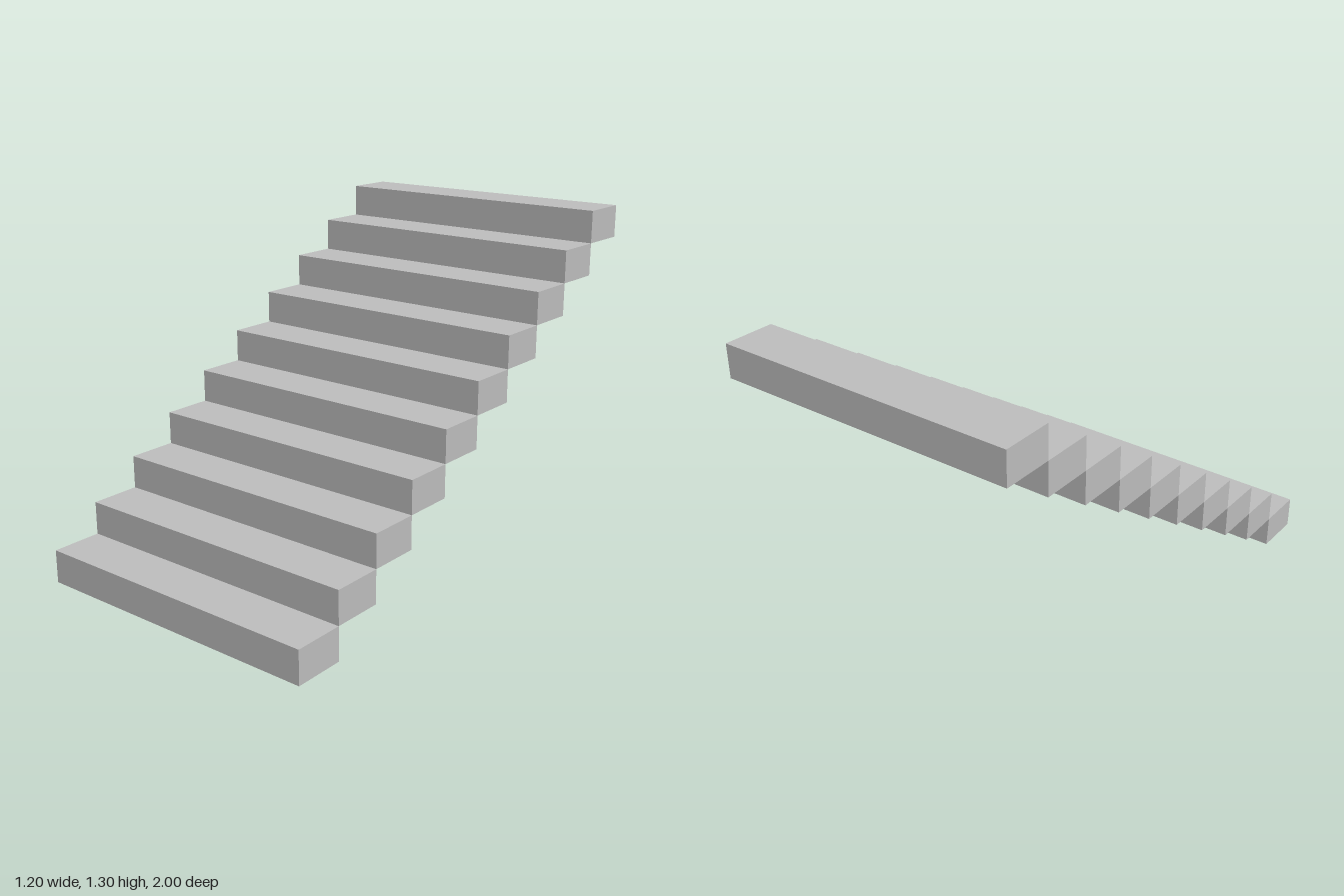
import * as THREE from 'three';

const STEPS = 10, WIDTH = 1.2, RISE = 0.13, RUN = 0.2;

export function createModel() {
  const group = new THREE.Group();
  group.name = 'staircase';
  const stone = new THREE.MeshStandardMaterial({ color: 0xc0c0c0 });
  stone.name = 'light grey';

  // Solid block steps, climbing from the front to the back, touching edge to edge
  const block = new THREE.BoxGeometry(WIDTH, RISE, RUN);
  for (let i = 0; i < STEPS; i++) {
    const step = new THREE.Mesh(block, stone);
    step.name = `step${i + 1}`;
    step.position.set(0, (i + 0.5) * RISE, (STEPS / 2 - i - 0.5) * RUN);
    group.add(step);
  }
  return group;
}
